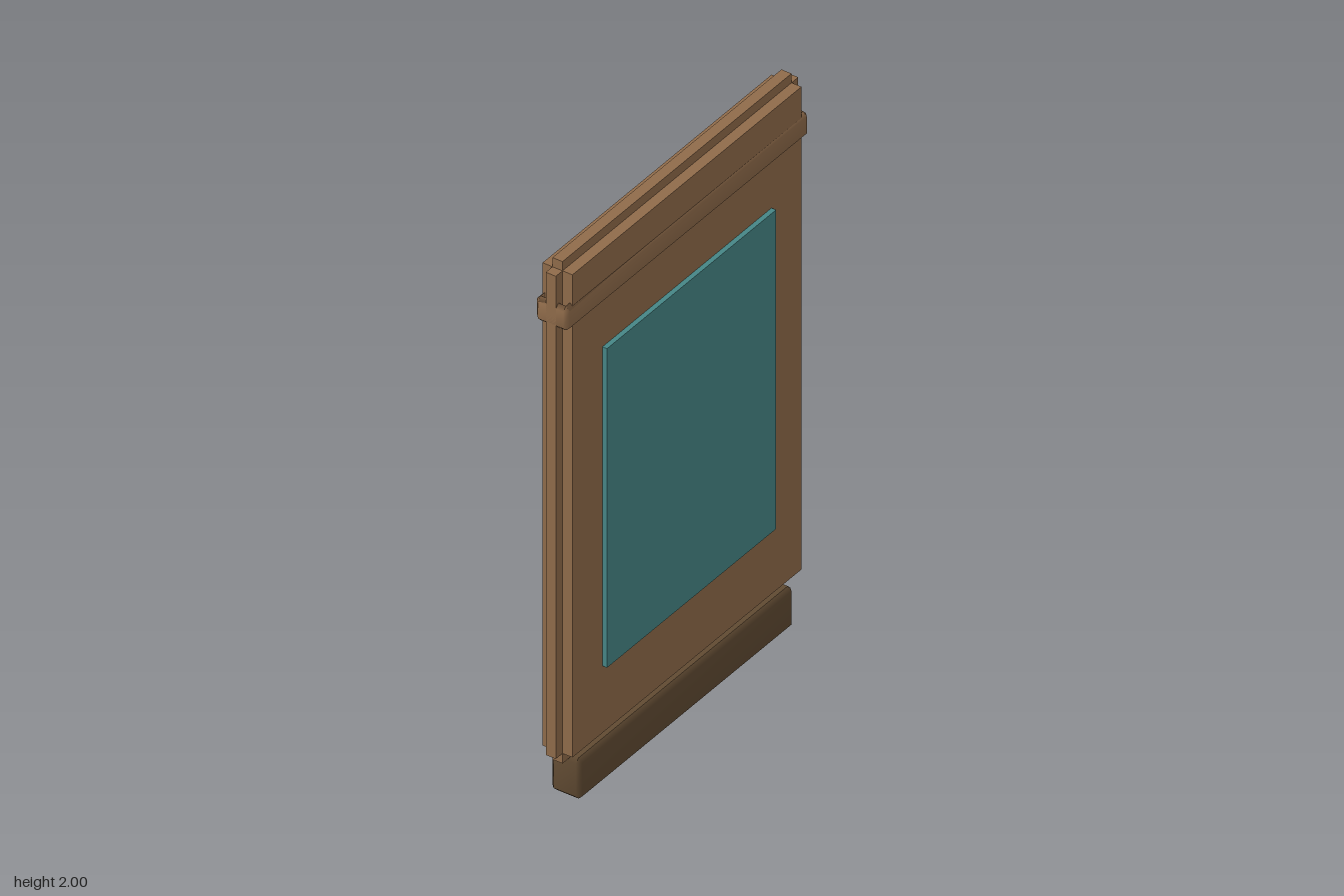
import * as THREE from 'three';

// Box with chamfered edges, centred in x and z. With open = true it becomes
// a hollow band: the flat top and bottom are replaced by an inner wall.
function chamferedBlock(hx, hz, y0, y1, r, open) {
  const cx = hx - r, cz = hz - r;
  const rings = [[y0, 0], [y0 + r, r], [y1 - r, r], [y1, 0]];
  if (open) rings.push([y0, 0]);
  const pos = [], idx = [];
  for (const [y, o] of rings) {
    // eight-cornered outline, growing outward by o from the core rectangle
    pos.push(cx + o, y, cz, cx + o, y, -cz, cx, y, -cz - o, -cx, y, -cz - o);
    pos.push(-cx - o, y, -cz, -cx - o, y, cz, -cx, y, cz + o, cx, y, cz + o);
  }
  for (let k = 0; k < rings.length - 1; k++) {
    for (let i = 0; i < 8; i++) {
      const a = k * 8 + i, b = k * 8 + (i + 1) % 8;
      idx.push(a, b, b + 8, a, b + 8, a + 8);
    }
  }
  if (!open) {
    const top = 24;
    for (let i = 1; i < 7; i++) {
      idx.push(top, top + i, top + i + 1);
      idx.push(0, i + 1, i);
    }
  }
  const geo = new THREE.BufferGeometry();
  geo.setAttribute('position', new THREE.Float32BufferAttribute(pos, 3));
  geo.setIndex(idx);
  geo.computeVertexNormals();
  return geo;
}

// Plain box between two heights
function slab(hx, hz, y0, y1) {
  return new THREE.BoxGeometry(hx * 2, y1 - y0, hz * 2).translate(0, (y0 + y1) / 2, 0);
}

export function createModel() {
  const group = new THREE.Group();
  const material = (name, color) => {
    const m = new THREE.MeshStandardMaterial({ color });
    m.name = name;
    return m;
  };
  const wood = material('wood', 0x8f6b4a);
  const darkWood = material('dark wood', 0x604a32);
  const teal = material('teal', 0x468686);

  const add = (name, geo, mat) => {
    const mesh = new THREE.Mesh(geo, mat);
    mesh.name = name;
    group.add(mesh);
  };

  // Board of three crossing slabs, giving stepped edges all round
  add('boardCore', slab(0.6, 0.055, 0.187, 1.966), wood);
  add('boardSideEdges', slab(0.635, 0.0185, 0.187, 1.966), wood);
  add('boardEndEdges', slab(0.6, 0.0185, 0.15, 2), wood);

  // Band wrapped around the top of the board
  add('band', chamferedBlock(0.635, 0.06, 1.77, 1.86, 0.014, true), wood);

  // Foot under the board
  add('foot', chamferedBlock(0.562, 0.055, 0, 0.15, 0.014, false), darkWood);

  // Coloured panel showing on both faces
  add('panel', slab(0.443, 0.072, 0.434, 1.61), teal);

  return group;
}
